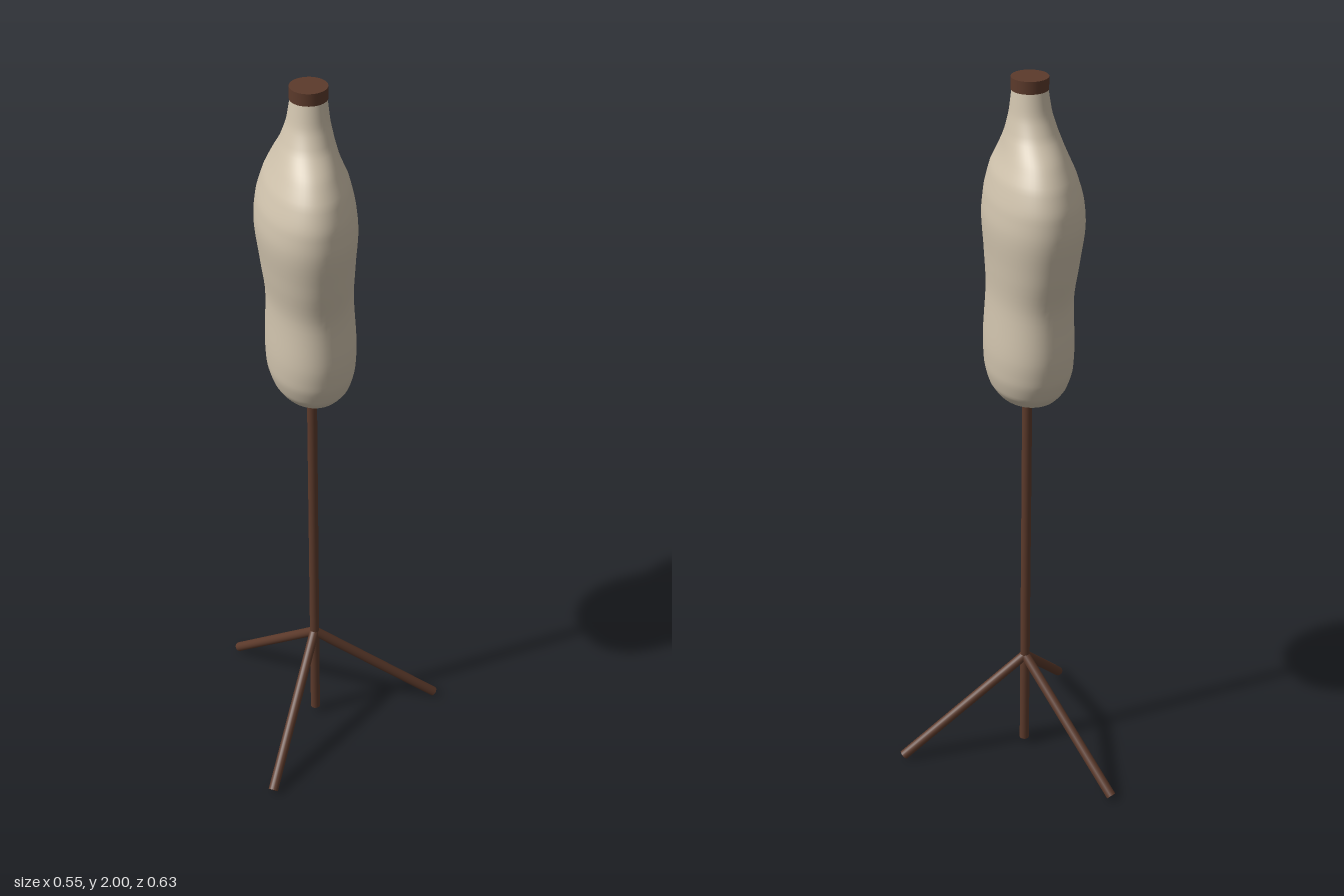
import * as THREE from 'three';

const AXIS = -0.087; // x of the pole

// Body sections from bottom to neck: y, left x, right x, half depth
const SECTIONS = [
  [1.138, -0.14, -0.03, 0.075],
  [1.148, -0.165, -0.01, 0.108],
  [1.18, -0.188, 0.012, 0.14],
  [1.23, -0.202, 0.024, 0.16],
  [1.3, -0.204, 0.026, 0.168],
  [1.42, -0.2, 0.019, 0.164],
  [1.53, -0.212, 0.022, 0.184],
  [1.64, -0.224, 0.028, 0.2],
  [1.7, -0.218, 0.022, 0.196],
  [1.76, -0.2, 0.008, 0.174],
  [1.81, -0.178, -0.012, 0.138],
  [1.86, -0.158, -0.026, 0.088],
  [1.91, -0.142, -0.036, 0.06],
  [1.975, -0.131, -0.043, 0.044],
];

function bodyGeometry(rings = 72, sides = 56) {
  // Smooth the centre line and the radii between the sections
  const centres = new THREE.CatmullRomCurve3(
    SECTIONS.map(([y, l, r]) => new THREE.Vector3((l + r) / 2, y, 0)));
  const radii = new THREE.CatmullRomCurve3(
    SECTIONS.map(([, l, r, d]) => new THREE.Vector3((r - l) / 2, 0, d)));
  const pos = [], idx = [];
  const addRing = (c, rx, rz) => {
    for (let j = 0; j < sides; j++) {
      const a = (j / sides) * Math.PI * 2;
      pos.push(c.x + rx * Math.cos(a), c.y, rz * Math.sin(a));
    }
  };
  // Closed underside, then the rising rings
  addRing(new THREE.Vector3(AXIS, 1.135, 0), 0.0001, 0.0001);
  for (let i = 0; i <= rings; i++) {
    const r = radii.getPoint(i / rings);
    addRing(centres.getPoint(i / rings), r.x, r.z);
  }
  for (let i = 0; i <= rings; i++) {
    for (let j = 0; j < sides; j++) {
      const k = (j + 1) % sides;
      const a = i * sides + j, b = i * sides + k;
      const c = a + sides, d = b + sides;
      idx.push(a, c, b, b, c, d);
    }
  }
  const geo = new THREE.BufferGeometry();
  geo.setAttribute('position', new THREE.Float32BufferAttribute(pos, 3));
  geo.setIndex(idx);
  geo.computeVertexNormals();
  return geo;
}

// Round rod between two points
function rod(name, from, to, radius, material) {
  const dir = to.clone().sub(from);
  const mesh = new THREE.Mesh(
    new THREE.CylinderGeometry(radius, radius, dir.length(), 20), material);
  mesh.position.copy(from).add(to).multiplyScalar(0.5);
  mesh.quaternion.setFromUnitVectors(new THREE.Vector3(0, 1, 0), dir.normalize());
  mesh.name = name;
  return mesh;
}

export function createModel() {
  const model = new THREE.Group();
  model.name = 'dressForm';
  const linen = new THREE.MeshStandardMaterial({ color: 0xd0c3ad });
  linen.name = 'linen';
  const wood = new THREE.MeshStandardMaterial({ color: 0x5c3a2b });
  wood.name = 'darkWood';

  // Padded torso
  const torso = new THREE.Mesh(bodyGeometry(), linen);
  torso.name = 'torso';
  model.add(torso);

  // Neck cap
  const cap = new THREE.Mesh(new THREE.CylinderGeometry(0.047, 0.047, 0.032, 40), wood);
  cap.position.set(AXIS, 1.984, 0);
  cap.name = 'neckCap';
  model.add(cap);

  // Pole
  model.add(rod('pole', new THREE.Vector3(AXIS, 0.02, 0),
    new THREE.Vector3(AXIS, 1.16, 0), 0.0133, wood));

  // Tripod legs
  for (let i = 0; i < 3; i++) {
    const a = (i / 3) * Math.PI * 2;
    const foot = new THREE.Vector3(AXIS + 0.353 * Math.cos(a), 0.0105, 0.353 * Math.sin(a));
    model.add(rod('leg' + (i + 1), new THREE.Vector3(AXIS, 0.305, 0), foot, 0.0135, wood));
  }
  return model;
}
